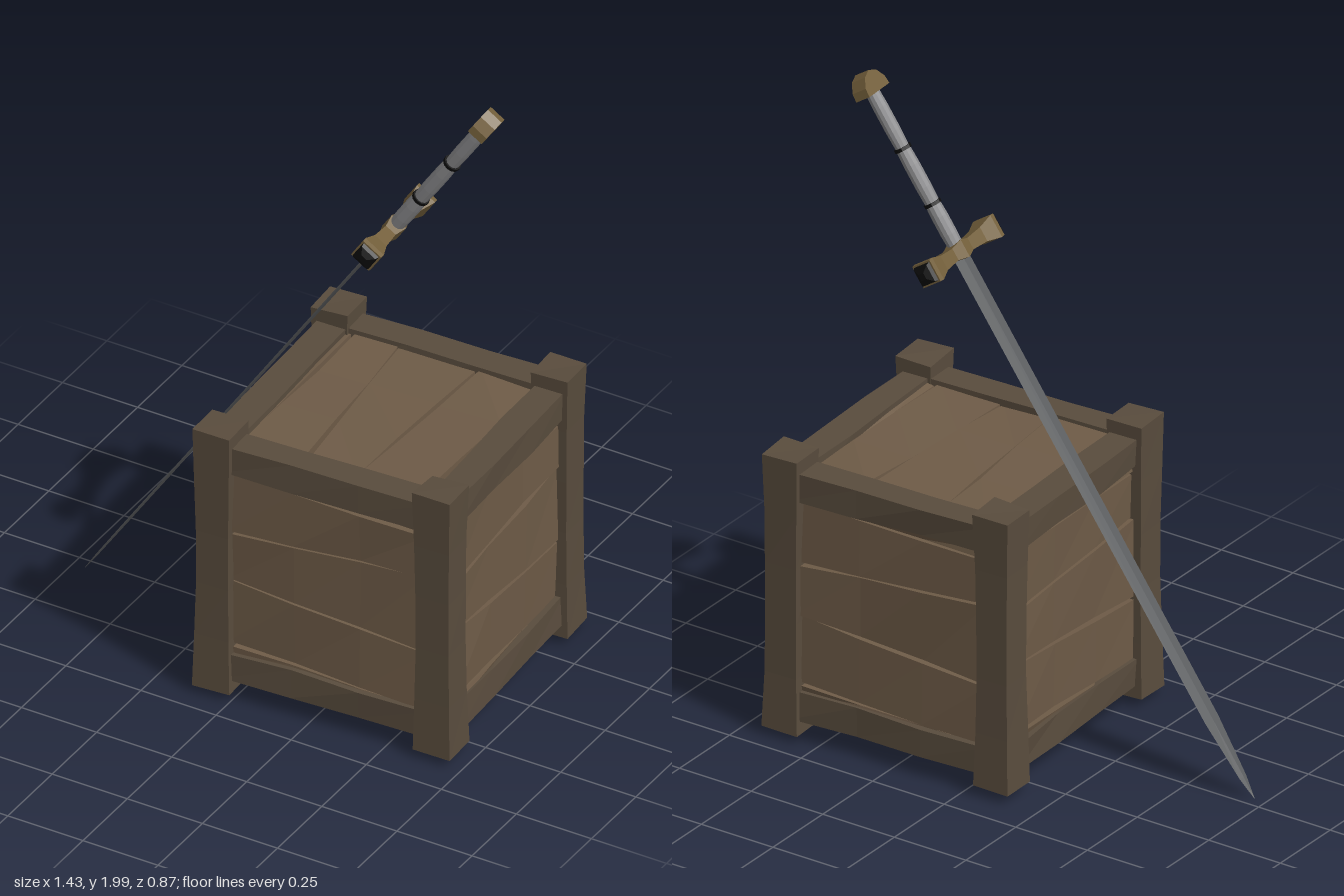
import * as THREE from 'three';

const mat = (color, side = THREE.FrontSide) =>
  new THREE.MeshStandardMaterial({ color, flatShading: true, side });
const plankMat = mat(0x6e5b47), frameMat = mat(0x594c3d), gapMat = mat(0x2b231b);
const steelMat = mat(0x5c5e60), gripMat = mat(0x88888a), bronzeMat = mat(0x735f3b), darkMat = mat(0x0c0c0c);

function add(parent, name, geometry, material) {
  const mesh = new THREE.Mesh(geometry, material);
  mesh.name = name;
  parent.add(mesh);
  return mesh;
}

// Repeatable wobble: the same point always gets the same offset, so edges stay closed
function wobble(x, y, z, seed) {
  const s = Math.sin(x * 127.1 + y * 311.7 + z * 74.7 + seed * 53.3) * 4375.5;
  return (s - Math.floor(s)) * 2 - 1;
}

// Moves every vertex of a geometry by a rule
function reshape(geometry, rule) {
  const p = geometry.attributes.position, v = new THREE.Vector3();
  for (let i = 0; i < p.count; i++) {
    rule(v.fromBufferAttribute(p, i));
    p.setXYZ(i, v.x, v.y, v.z);
  }
  geometry.computeVertexNormals();
  return geometry;
}

// Closed solid through loops of points, with flat ends
function loft(loops) {
  const n = loops[0].length, pos = loops.flat(2), idx = [];
  for (let k = 0; k < loops.length - 1; k++) {
    for (let i = 0; i < n; i++) {
      const a = k * n + i, b = k * n + (i + 1) % n;
      idx.push(a, b, b + n, a, b + n, a + n);
    }
  }
  const last = (loops.length - 1) * n;
  for (let i = 1; i < n - 1; i++) idx.push(0, i + 1, i, last, last + i, last + i + 1);
  const g = new THREE.BufferGeometry();
  g.setAttribute('position', new THREE.Float32BufferAttribute(pos, 3));
  g.setIndex(idx);
  g.computeVertexNormals();
  return g;
}

// One face of four tapered planks; seams give the height at the left and right ends
function plankFace(seed) {
  const face = new THREE.Group();
  const seams = [[-0.32, -0.32], [-0.28, -0.315], [-0.065, -0.115], [0.105, 0.14], [0.305, 0.29], [0.32, 0.32]];
  for (let k = 0; k < seams.length - 1; k++) {
    const [lo, hi] = [seams[k], seams[k + 1]];
    const g = reshape(new THREE.BoxGeometry(0.64, 1, 0.04, 3, 1, 1), (v) => {
      const t = v.x / 0.64 + 0.5, top = v.y > 0, w = wobble(v.x, v.y, v.z, seed + k);
      // Gaps open towards alternate ends
      const gap = 0.002 + 0.008 * (k % 2 ? t : 1 - t);
      const edge = top ? hi : lo;
      v.y = edge[0] + (edge[1] - edge[0]) * t + (top ? -gap : 0.001);
      if (v.z > 0) v.z += 0.007 * w;
      v.z += 0.362;
    });
    add(face, 'plank', g, plankMat);
  }
  return face;
}

function createCrate() {
  const crate = new THREE.Group();
  crate.name = 'crate';
  add(crate, 'crateCore', new THREE.BoxGeometry(0.72, 0.72, 0.72), gapMat);

  // Planks on the four sides, the lid and the bottom
  const turns = [0, 1, 2, 3].map((k) => [0, k * Math.PI / 2, 0]);
  turns.push([-Math.PI / 2, 0, Math.PI / 2], [Math.PI / 2, 0, Math.PI / 2]);
  turns.forEach((turn, i) => {
    const face = plankFace(i * 7);
    face.name = ['frontPlanks', 'leftPlanks', 'backPlanks', 'rightPlanks', 'lidPlanks', 'bottomPlanks'][i];
    face.rotation.set(...turn);
    crate.add(face);
  });

  // Corner posts, thicker at both ends
  for (const sx of [-1, 1]) for (const sz of [-1, 1]) {
    const seed = sx * 2 + sz;
    const g = reshape(new THREE.BoxGeometry(0.12, 0.88, 0.12, 1, 5, 1), (v) => {
      const { x, y, z } = v, w = wobble(x, y, z, seed);
      const end = Math.abs(y) > 0.43;
      const s = 0.87 + 0.13 * Math.pow(Math.abs(y) / 0.44, 2) + 0.03 * w;
      v.x *= s;
      v.z *= s;
      if (end) v.y += Math.sign(y) * 0.007 * w;
    });
    add(crate, 'cornerPost', g, frameMat).position.set(sx * 0.358, 0.003, sz * 0.358);
  }

  // Rails between the posts, around the lid and the bottom
  for (const sy of [-1, 1]) for (let k = 0; k < 4; k++) {
    const g = reshape(new THREE.BoxGeometry(0.66, 0.09, 0.09, 3, 1, 1), (v) => {
      const w = wobble(v.x, v.y, v.z, k + sy * 5);
      v.z += 0.352 + 0.005 * w;
      v.y += sy * 0.354 - (Math.sign(v.y) === sy ? 0 : 0.005 * w);
    });
    add(crate, 'rail', g, frameMat).rotation.y = k * Math.PI / 2;
  }
  crate.position.set(0.28, 0.463, -0.005);
  crate.rotation.y = 0.042;
  return crate;
}

// Sword along local y with its point at 0; z runs along the guard
function createSword() {
  const sword = new THREE.Group();
  sword.name = 'sword';

  // Blade of diamond section: [height, half width, half thickness]
  const blade = [[0, 0.001, 0.0005], [0.07, 0.017, 0.003], [0.26, 0.034, 0.004], [1.8, 0.036, 0.005]];
  add(sword, 'blade', loft(blade.map(([y, w, t]) =>
    [[t, y, 0], [0, y, -w], [-t, y, 0], [0, y, w]].reverse())).scale(1, 1, -1), steelMat);
  const bladeMesh = sword.children[0];
  bladeMesh.geometry.index.array.reverse();
  bladeMesh.geometry.computeVertexNormals();
  bladeMesh.material = mat(0x5c5e60, THREE.DoubleSide);

  // Guard: square bar flaring at its ends, [z, half size]
  const guard = [[-0.17, 0.035], [-0.155, 0.036], [-0.105, 0.023], [-0.04, 0.019], [0, 0.028],
    [0.04, 0.019], [0.105, 0.023], [0.155, 0.036], [0.17, 0.035]];
  const square = (z, s) => [[-s, -s, z], [s, -s, z], [s, s, z], [-s, s, z]];
  add(sword, 'guard', loft(guard.map(([z, s]) => square(z, s))), bronzeMat).position.y = 1.797;
  for (const side of [-1, 1]) {
    const cap = add(sword, 'guardCap', loft([square(0, 0.03), square(0.012, 0.026), square(0.022, 0.01)]), darkMat);
    cap.position.set(0, 1.797, side * 0.17);
    if (side < 0) cap.rotation.y = Math.PI;
  }

  // Grip in three swelling sections with dark rings between
  const cuts = [1.81, 1.953, 2.134, 2.33];
  for (let k = 0; k < 3; k++) {
    const h = cuts[k + 1] - cuts[k], r = 0.025 - k * 0.001;
    const profile = [[0, 0], [r - 0.002, 0], [r, h * 0.3], [r, h * 0.7], [r - 0.002, h], [0, h]];
    add(sword, 'grip', new THREE.LatheGeometry(profile.map((p) => new THREE.Vector2(...p)), 12), gripMat)
      .position.y = cuts[k];
    if (k) add(sword, 'gripRing', new THREE.CylinderGeometry(0.027, 0.027, 0.01, 12), darkMat).position.y = cuts[k];
  }

  // Pommel: arched slab
  const arch = new THREE.Shape([[-0.053, 0], [0.053, 0], [0.05, 0.026], [0.03, 0.054], [0, 0.066],
    [-0.03, 0.054], [-0.05, 0.026]].map((p) => new THREE.Vector2(...p)));
  const pommel = new THREE.ExtrudeGeometry(arch, { depth: 0.054, bevelEnabled: false });
  add(sword, 'pommel', pommel.translate(0, 2.316, -0.027).rotateY(Math.PI / 2), bronzeMat);

  // Lean the sword over the crate
  const along = new THREE.Vector3(1.325, 1.97, -0.06).normalize();
  const across = new THREE.Vector3(0.04, 0.003, 1);
  across.addScaledVector(along, -across.dot(along)).normalize();
  const thin = new THREE.Vector3().crossVectors(along, across);
  sword.quaternion.setFromRotationMatrix(new THREE.Matrix4().makeBasis(thin, along, across));
  sword.position.set(-0.71, 0, 0.037);
  return sword;
}

export function createModel() {
  const model = new THREE.Group();
  model.name = 'crateAndSword';
  model.add(createCrate(), createSword());
  return model;
}
